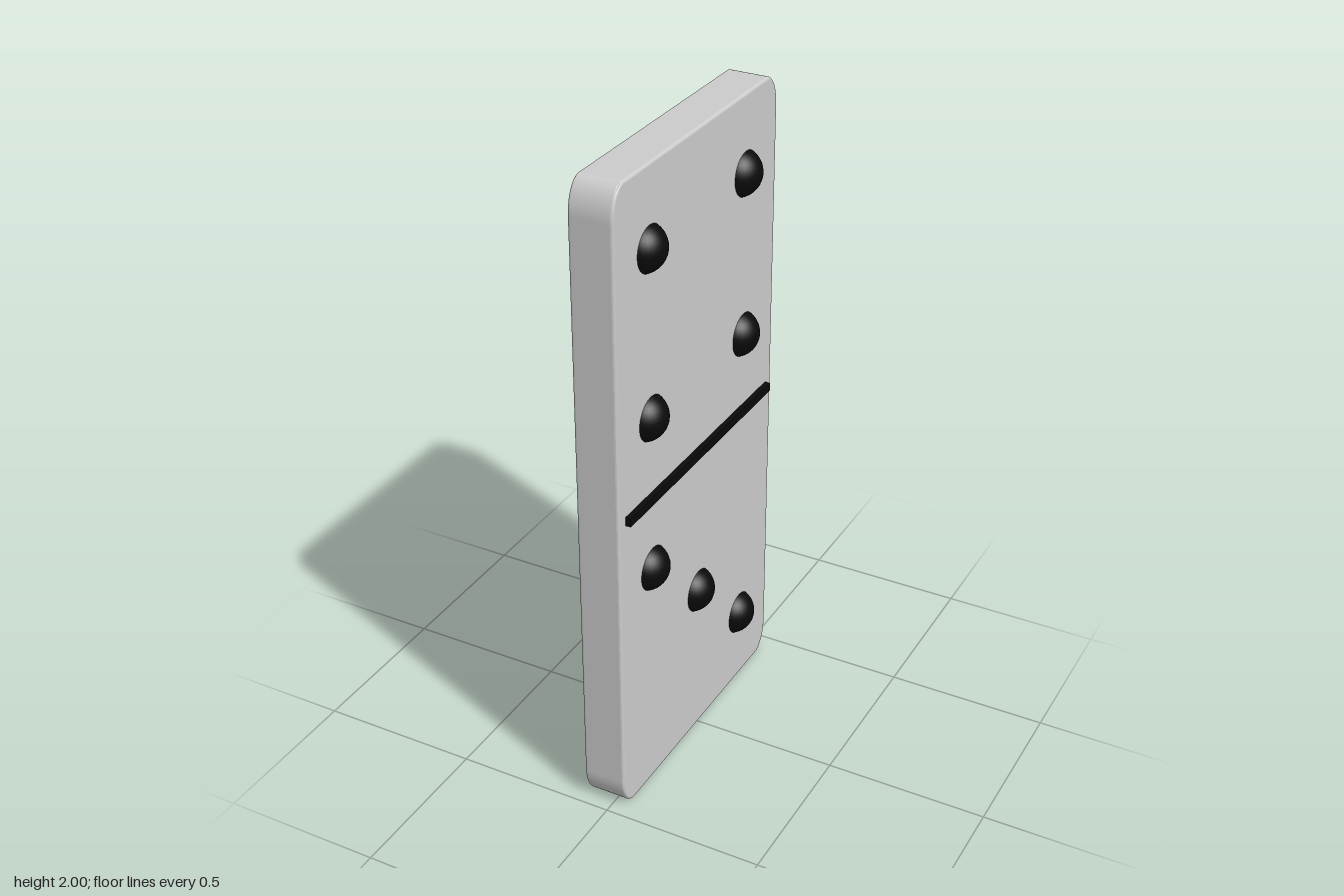
import * as THREE from 'three';

const grey = new THREE.MeshStandardMaterial({ color: 0xcccccc, flatShading: true });
const black = new THREE.MeshStandardMaterial({ color: 0x0a0a0a });

// Outline with elliptical corners: w, h half sizes, rx, ry corner radii
function tileOutline(w, h, rx, ry) {
  const s = new THREE.Shape();
  s.moveTo(w, -h + ry);
  s.lineTo(w, h - ry);
  s.absellipse(w - rx, h - ry, rx, ry, 0, Math.PI / 2);
  s.absellipse(-w + rx, h - ry, rx, ry, Math.PI / 2, Math.PI);
  s.absellipse(-w + rx, -h + ry, rx, ry, Math.PI, Math.PI * 1.5);
  s.absellipse(w - rx, -h + ry, rx, ry, Math.PI * 1.5, Math.PI * 2);
  return s;
}

export function createModel() {
  const group = new THREE.Group();
  group.name = 'domino';
  const add = (name, geometry, material, x, y, z) => {
    const mesh = new THREE.Mesh(geometry, material);
    mesh.name = name;
    mesh.position.set(x, y, z);
    group.add(mesh);
  };

  // Tile: thin slab along x with softly bevelled faces
  const back = -0.09, front = 0.043, bevel = 0.008;
  const tile = new THREE.ExtrudeGeometry(tileOutline(0.47, 1, 0.062, 0.1), {
    depth: front - back - 2 * bevel,
    bevelThickness: bevel, bevelSize: bevel, bevelOffset: -bevel,
    bevelSegments: 3, curveSegments: 10,
  });
  tile.rotateY(Math.PI / 2);
  add('tile', tile, grey, back + bevel, 1, 0);

  // Dividing bar
  add('dividerBar', new THREE.BoxGeometry(0.06, 0.027, 0.866), black, 0.03, 1, 0);

  // Pips as [y, z]: four above the bar, three below
  const pip = new THREE.SphereGeometry(0.073, 32, 20);
  const spots = [
    [1.76, 0.28], [1.76, -0.277], [1.25, 0.28], [1.25, -0.277],
    [0.755, 0.28], [0.505, 0], [0.247, -0.277],
  ];
  spots.forEach(([y, z], i) => add(`pip${i + 1}`, pip, black, 0.017, y, z));

  return group;
}
